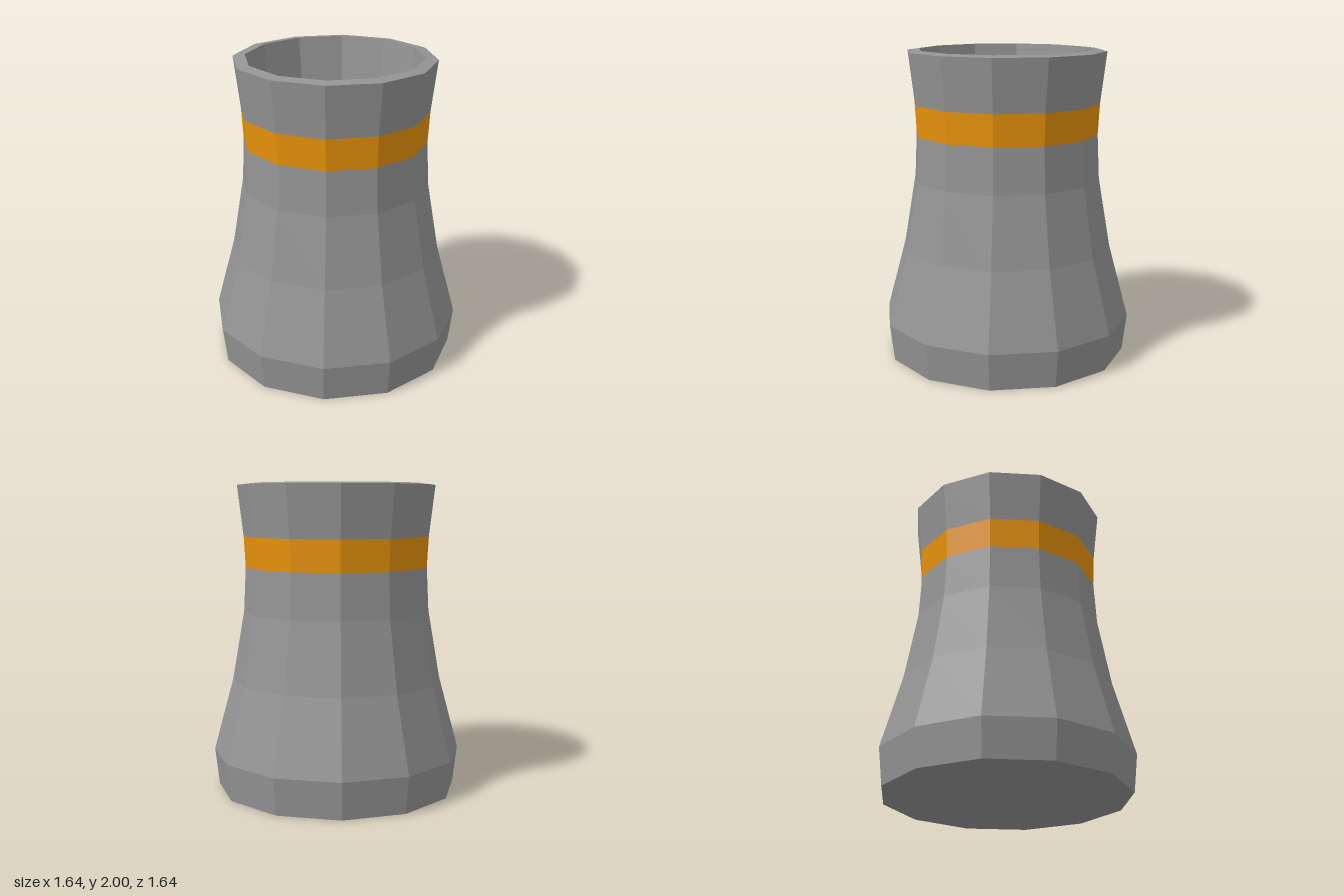
import * as THREE from 'three';

const SIDES = 12;

// One lathed section; profiles running upward face out, downward face in
function section(name, profile, color) {
  const points = profile.map(([r, y]) => new THREE.Vector2(r, y));
  const material = new THREE.MeshStandardMaterial({ color, flatShading: true });
  const mesh = new THREE.Mesh(new THREE.LatheGeometry(points, SIDES), material);
  mesh.name = name;
  return mesh;
}

export function createModel() {
  const grey = 0x949494, orange = 0xe8930a;
  const group = new THREE.Group();
  group.name = 'coolingTower';

  group.add(
    // Closed base and flared outer wall
    section('lowerBody', [[0, 0], [0.79, 0], [0.818, 0.24], [0.688, 0.72], [0.61, 1.17], [0.596, 1.46]], grey),
    // Painted stripe outside
    section('outerStripe', [[0.596, 1.46], [0.607, 1.66]], orange),
    // Upper wall, lip and inside of the mouth
    section('rim', [[0.607, 1.66], [0.646, 1.99], [0.568, 2], [0.529, 1.667]], grey),
    // Painted stripe inside
    section('innerStripe', [[0.529, 1.667], [0.517, 1.46]], orange),
    // Hollow inside, parallel to the outer wall, down to the floor
    section('innerWall', [[0.517, 1.46], [0.531, 1.16], [0.61, 0.70], [0.738, 0.234], [0.72, 0.07], [0, 0.07]], grey)
  );
  return group;
}
